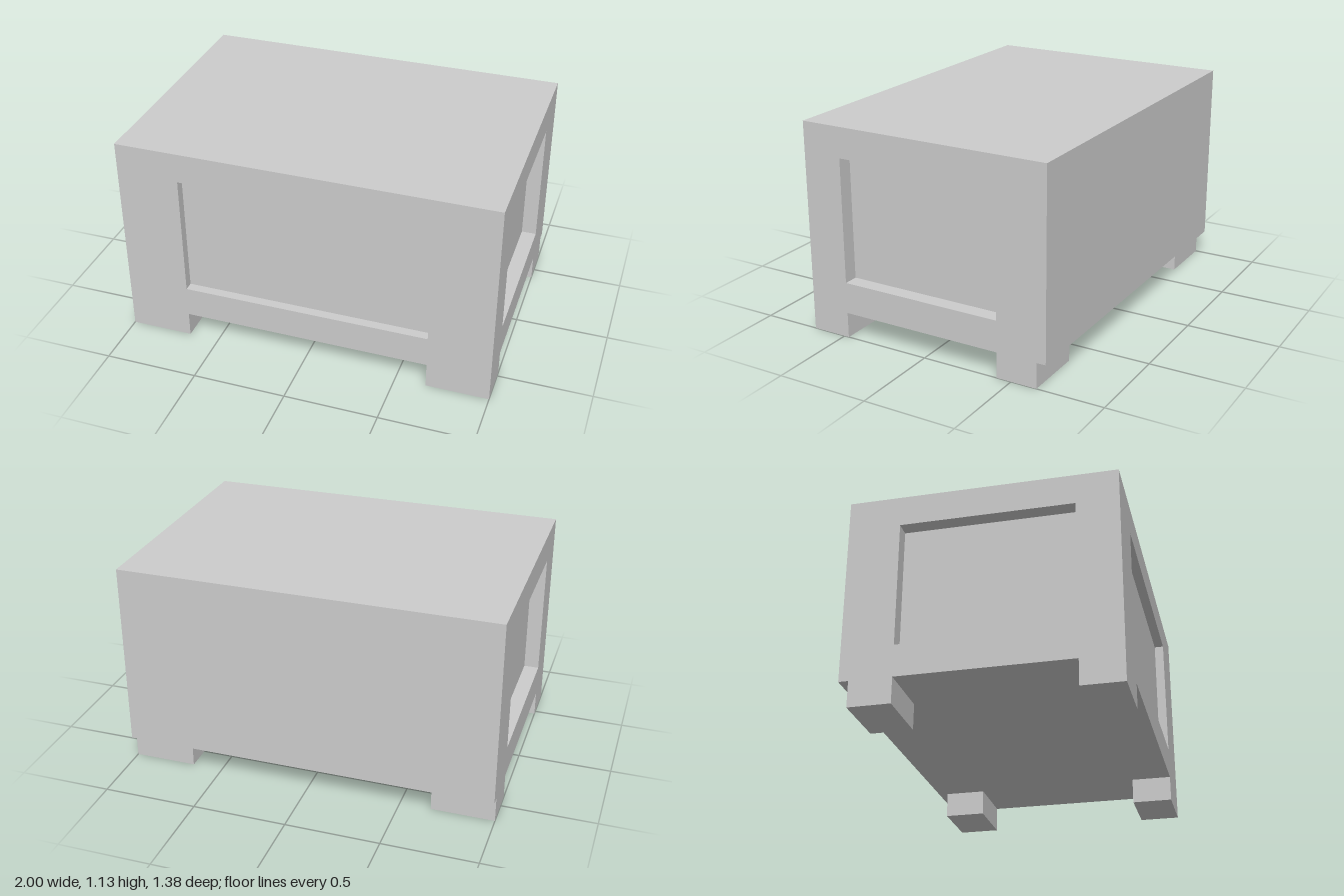
import * as THREE from 'three';

const material = new THREE.MeshStandardMaterial({ color: 0xcccccc, flatShading: true });

// overall sizes
const W = 1, D = 0.69, BOTTOM = 0.137, TOP = 1.134;
const FRONT_RECESS = 0.05, SIDE_RECESS = 0.08;
const PANEL_BOTTOM = 0.305, PANEL_TOP = 0.972, LEG_INNER_X = 0.665;

function addMesh(group, name, geometry) {
  const mesh = new THREE.Mesh(geometry, material);
  mesh.name = name;
  group.add(mesh);
  return mesh;
}

// box given by its limits on each axis
function addBox(group, name, x0, x1, y0, y1, z0, z1) {
  const box = addMesh(group, name, new THREE.BoxGeometry(x1 - x0, y1 - y0, z1 - z0));
  box.position.set((x0 + x1) / 2, (y0 + y1) / 2, (z0 + z1) / 2);
}

function rectangle(PathType, u0, u1, v0, v1) {
  return new PathType([[u0, v0], [u1, v0], [u1, v1], [u0, v1]].map(([u, v]) => new THREE.Vector2(u, v)));
}

// rectangular frame with an opening, extruded along +z
function frame(u0, u1, hole0, hole1, depth) {
  const shape = rectangle(THREE.Shape, u0, u1, BOTTOM, TOP);
  shape.holes.push(rectangle(THREE.Path, hole0, hole1, PANEL_BOTTOM, PANEL_TOP));
  return new THREE.ExtrudeGeometry(shape, { depth, bevelEnabled: false });
}

export function createModel() {
  const group = new THREE.Group();
  group.name = 'cabinet';
  const frontZ = D - FRONT_RECESS, sideX = W - SIDE_RECESS;

  // core whose faces form the recessed panels
  addBox(group, 'body', -sideX, sideX, BOTTOM, TOP, -D, frontZ);

  // raised frames around the recessed panels
  addMesh(group, 'frontFrame', frame(-W, W, -LEG_INNER_X, LEG_INNER_X, FRONT_RECESS)).position.z = frontZ;
  for (const [name, x] of [['leftFrame', sideX], ['rightFrame', -W]]) {
    const side = addMesh(group, name, frame(-frontZ, D, -0.473, 0.42, SIDE_RECESS));
    side.rotation.y = Math.PI / 2;
    side.position.x = x;
  }

  // four short legs, the rear pair set in from the back
  for (const [end, z0, z1] of [['front', 0.473, D], ['back', -0.64, -0.42]]) {
    addBox(group, end + 'LeftLeg', LEG_INNER_X, W, 0, BOTTOM, z0, z1);
    addBox(group, end + 'RightLeg', -W, -LEG_INNER_X, 0, BOTTOM, z0, z1);
  }
  return group;
}
